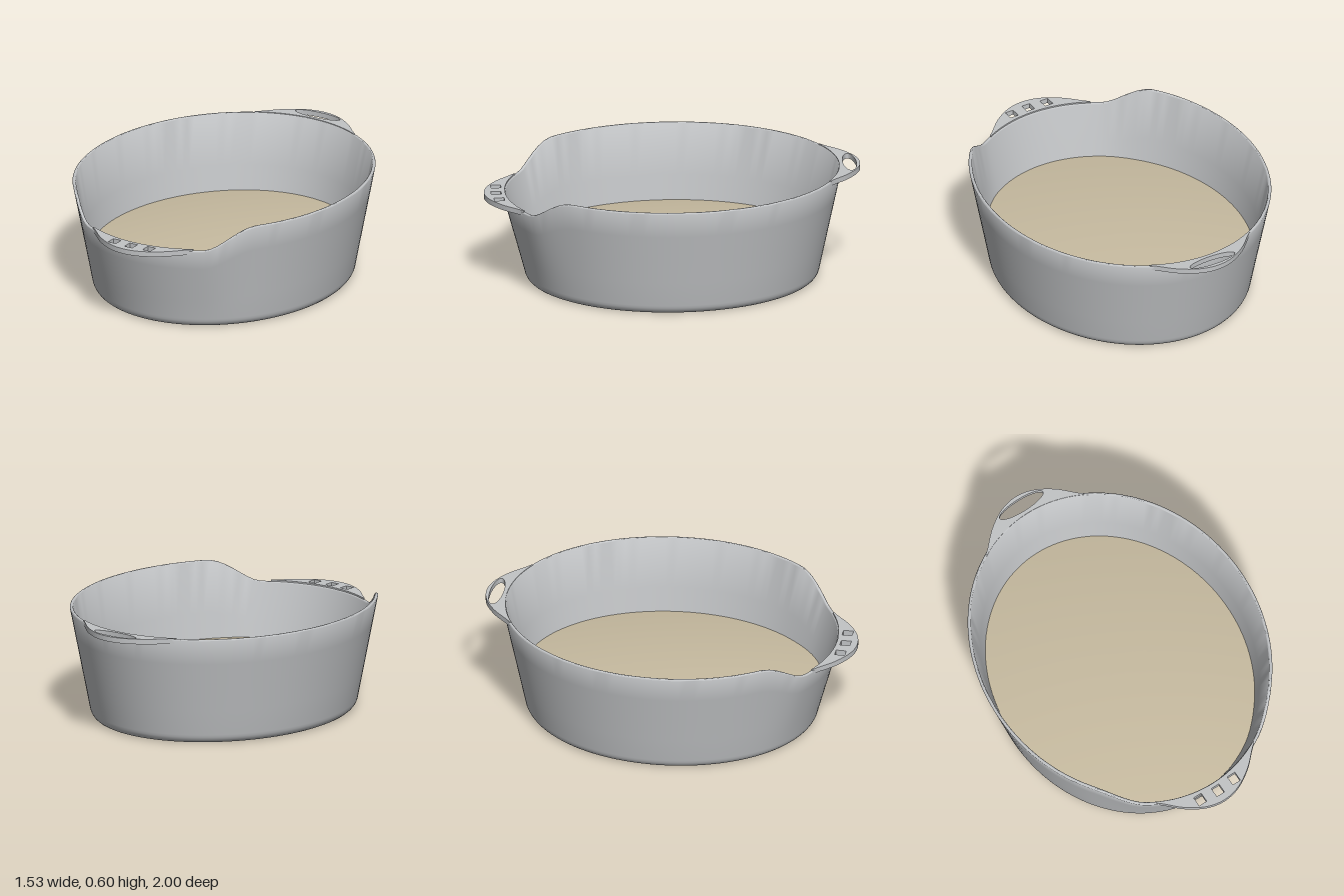
import * as THREE from 'three';
import { toCreasedNormals } from 'three/addons/utils/BufferGeometryUtils.js';

const SEG = 128;

// Height of the rim: level all round, dipping in an S-curve at the front
function rimHeight(x, z) {
  if (z < 0) return 0.6;
  return 0.6 - 0.122 * THREE.MathUtils.smoothstep(0.58 - Math.abs(x), 0, 0.22);
}

// Loft elliptical rings; each ring gives [x radius, z radius, height] for a rim height
function loft(rings) {
  const pos = [], idx = [];
  rings.forEach((ring, r) => {
    for (let i = 0; i < SEG; i++) {
      const a = (i / SEG) * Math.PI * 2, s = Math.sin(a), c = Math.cos(a);
      const [rx, rz, y] = ring(rimHeight(0.763 * s, 0.9 * c));
      pos.push(rx * s, y, rz * c);
      if (r === 0) continue;
      const j = (i + 1) % SEG, p = (r - 1) * SEG, q = r * SEG;
      idx.push(p + i, p + j, q + j, p + i, q + j, q + i);
    }
  });
  const g = new THREE.BufferGeometry();
  g.setAttribute('position', new THREE.Float32BufferAttribute(pos, 3));
  g.setIndex(idx);
  return toCreasedNormals(g, 0.7);
}

// Plate that grows from the rim, pierced by the given holes
function handleGeometry(holes) {
  const inner = [];
  for (let i = 0; i <= 24; i++) {
    const x = -0.31 + (0.62 * i) / 24;
    inner.push(new THREE.Vector2(x, 0.888 * Math.sqrt(1 - (x / 0.75) ** 2)));
  }
  const half = [[0.31, 0.817], [0.28, 0.843], [0.2, 0.92], [0.1, 0.98]];
  const outer = [...half, [0, 1], ...half.slice().reverse().map(([x, z]) => [-x, z])];
  const curve = new THREE.SplineCurve(outer.map(([x, z]) => new THREE.Vector2(x, z)));
  const shape = new THREE.Shape([...inner, ...curve.getPoints(48)]);
  shape.holes.push(...holes);
  const g = new THREE.ExtrudeGeometry(shape, { depth: 0.028, bevelEnabled: false, curveSegments: 32 });
  g.rotateX(Math.PI / 2);
  return toCreasedNormals(g, 0.6);
}

export function createModel() {
  const model = new THREE.Group();
  const grey = new THREE.MeshStandardMaterial({ color: 0xc2c4c6 });
  grey.name = 'greyPlastic';
  grey.side = THREE.DoubleSide;
  const tan = new THREE.MeshStandardMaterial({ color: 0xc8bca1 });
  tan.name = 'tanFilling';

  const add = (name, geometry, material) => {
    const mesh = new THREE.Mesh(geometry, material);
    mesh.name = name;
    model.add(mesh);
    return mesh;
  };

  // Tub: flat base, rounded lower corner, sloping wall, rounded lip, inner wall
  const rings = [() => [0, 0, 0], () => [0.62, 0.74, 0]];
  for (let i = 1; i <= 6; i++) {
    const a = (i / 6) * 1.38;
    const s = 0.045 * Math.sin(a), y = 0.06 * (1 - Math.cos(a));
    rings.push(() => [0.62 + s, 0.74 + s, y]);
  }
  for (let i = 1; i <= 4; i++) {
    const t = i / 4;
    rings.push(h => [0.664 + 0.099 * t, 0.784 + 0.116 * t, 0.05 + (h - 0.058) * t]);
  }
  for (let i = 1; i <= 6; i++) {
    const a = (i / 6) * Math.PI;
    const d = 0.009 * (1 - Math.cos(a)), u = 0.008 * Math.sin(a);
    rings.push(h => [0.763 - d, 0.9 - d, h - 0.008 + u]);
  }
  rings.push(h => [0.697, 0.825, 0.05 + (h - 0.05) * 0.5]);
  rings.push(() => [0.648, 0.768, 0.05]);
  add('tub', loft(rings), grey);

  // Filling: a shallow mound reaching the inner wall
  const mound = [];
  for (let i = 0; i <= 12; i++) {
    const t = 1 - i / 12;
    mound.push(() => [0.68 * t, 0.808 * t, 0.19 + 0.055 * (1 - t * t)]);
  }
  add('filling', loft(mound), tan);

  // Front handle with three small windows
  const windows = [-0.107, 0, 0.107].map(x => {
    const z = x === 0 ? 0.936 : 0.928;
    return new THREE.Path([[-1, -1], [-1, 1], [1, 1], [1, -1]].map(
      ([u, v]) => new THREE.Vector2(x + u * 0.024, z + v * 0.027)));
  });
  add('frontHandle', handleGeometry(windows), grey).position.y = 0.485;

  // Back handle with an oval grip hole
  const oval = new THREE.Path();
  oval.absellipse(0, 0.944, 0.137, 0.036, 0, Math.PI * 2, true, 0);
  const back = add('backHandle', handleGeometry([oval]), grey);
  back.position.y = 0.603;
  back.rotation.y = Math.PI;

  return model;
}
